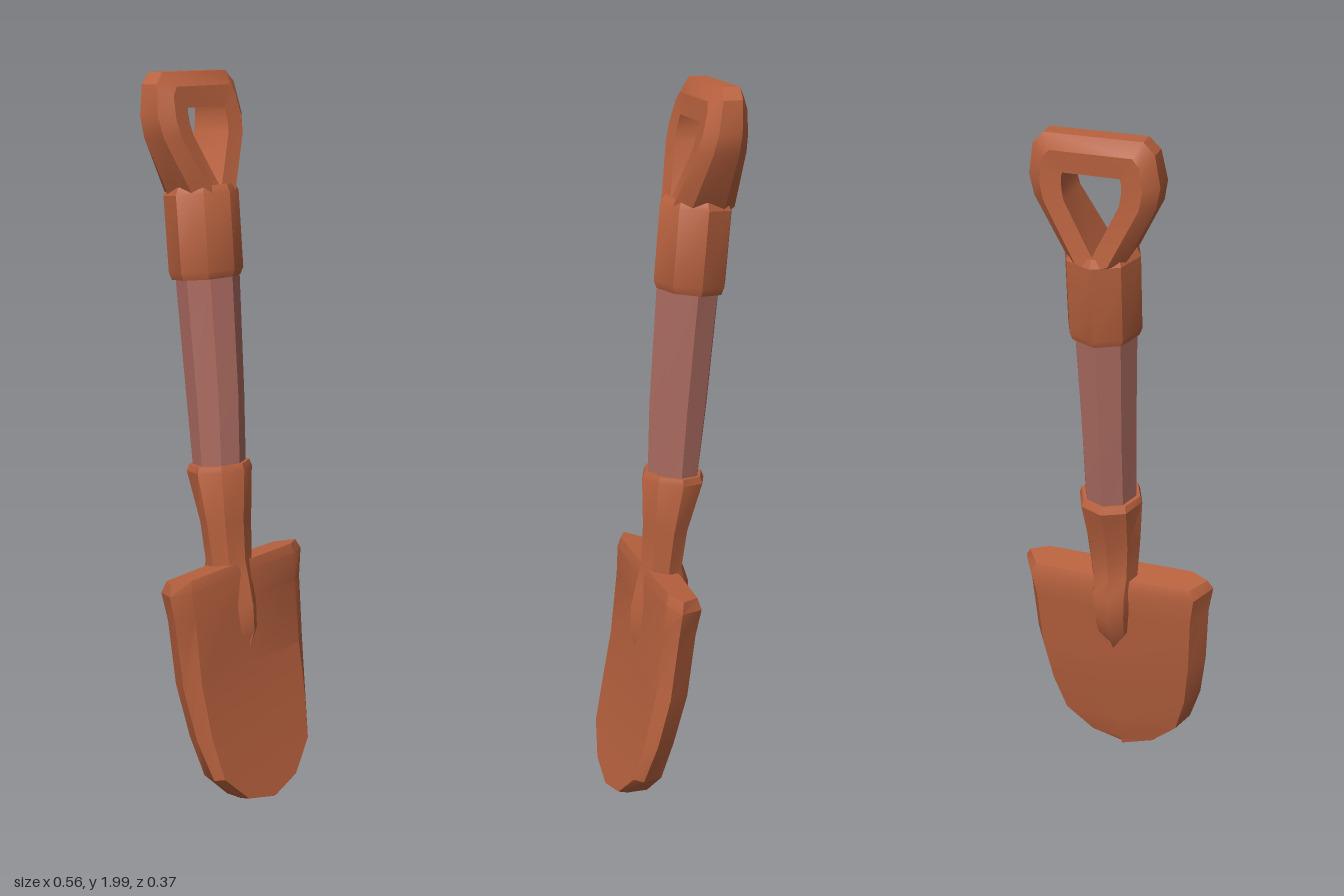
import * as THREE from 'three';
import { toCreasedNormals } from 'three/addons/utils/BufferGeometryUtils.js';

const metal = new THREE.MeshStandardMaterial({ color: 0xb9623f });
const wood = new THREE.MeshStandardMaterial({ color: 0xab6b60 });

// Skin a list of rings (each a list of [x, y, z]); ends are capped, or joined when looped.
function loft(name, rings, material, looped = false) {
  const pos = [];
  const tri = (...corners) => {
    const [a, b, c] = corners.map((p) => new THREE.Vector3(...p));
    const area = b.clone().sub(a).cross(c.clone().sub(a)).length();
    if (area > 1e-8) pos.push(...a, ...b, ...c);
  };
  const n = rings[0].length;
  const rows = looped ? rings.length : rings.length - 1;
  for (let r = 0; r < rows; r++) {
    const lo = rings[r], hi = rings[(r + 1) % rings.length];
    for (let i = 0; i < n; i++) {
      const j = (i + 1) % n;
      tri(lo[i], lo[j], hi[j]);
      tri(lo[i], hi[j], hi[i]);
    }
  }
  if (!looped) {
    const centre = (ring) => [0, 1, 2].map((k) => ring.reduce((s, p) => s + p[k], 0) / n);
    const bottom = rings[0], top = rings[rings.length - 1];
    for (let i = 0; i < n; i++) {
      const j = (i + 1) % n;
      tri(centre(bottom), bottom[j], bottom[i]);
      tri(centre(top), top[i], top[j]);
    }
  }
  const geometry = new THREE.BufferGeometry();
  geometry.setAttribute('position', new THREE.Float32BufferAttribute(pos, 3));
  const mesh = new THREE.Mesh(toCreasedNormals(geometry, 0.45), material);
  mesh.name = name;
  return mesh;
}

// Eight-sided ring with a corner at the front: height, half width, front z, back z.
function octagon([y, w, front, back]) {
  const zc = (front + back) / 2, d = (front - back) / 2;
  return Array.from({ length: 8 }, (_, i) => {
    const a = (i * Math.PI) / 4;
    const dz = Math.cos(a) * d;
    return [Math.sin(a) * w, y + dz * 0.1, zc + dz];
  });
}

// Blade ring: flat front, bevelled sides, slightly bowed back.
function bladeRing([y, w, front, back, inset]) {
  const side = [[inset * w, front], [w, front - 0.025], [0.86 * w, back + 0.01]];
  const ring = [
    [0, front],
    ...side,
    [0, back],
    ...side.map(([x, z]) => [-x, z]).reverse(),
  ];
  return ring.map(([x, z]) => [x, y + (z - front) * 0.18, z]);
}

// Grip ring: six-sided section between an outer and an inner outline point.
function gripRing([ox, oy, ix, iy]) {
  const at = (t, depth) => {
    const x = ox + (ix - ox) * t, y = oy + (iy - oy) * t;
    const zc = -0.121 + (1.95 - y) * 0.13;
    const half = 0.052 + (1.95 - y) * 0.13;
    return [x, y, zc + half * depth];
  };
  return [at(0, 0.52), at(0, -0.52), at(0.4, -1), at(1, -0.92), at(1, 0.92), at(0.4, 1)];
}

export function createModel() {
  const model = new THREE.Group();
  model.name = 'shovel';

  // Blade, curving forward to the tip
  model.add(loft('blade', [
    [0.025, 0.005, 0.185, 0.085, 0.95],
    [0.052, 0.11, 0.178, 0.08, 0.95],
    [0.13, 0.2, 0.158, 0.063, 0.92],
    [0.25, 0.237, 0.13, 0.038, 0.86],
    [0.4, 0.258, 0.1, 0.005, 0.82],
    [0.58, 0.267, 0.08, -0.015, 0.8],
    [0.66, 0.28, 0.074, -0.028, 0.79],
    [0.688, 0.265, 0.066, -0.02, 0.8],
  ].map(bladeRing), metal));

  // Socket, running down both blade faces to a point
  model.add(loft('socket', [
    [0.425, 0.005, 0.09, 0.0],
    [0.49, 0.055, 0.108, -0.04],
    [0.56, 0.06, 0.104, -0.062],
    [0.63, 0.064, 0.088, -0.065],
    [0.69, 0.068, 0.074, -0.045],
    [0.8, 0.078, 0.068, -0.06],
    [0.94, 0.09, 0.07, -0.108],
    [0.958, 0.084, 0.062, -0.1],
  ].map(octagon), metal));

  // Wooden shaft
  model.add(loft('shaft', [
    [0.9, 0.072, 0.055, -0.085],
    [1.15, 0.076, 0.048, -0.115],
    [1.5, 0.086, 0.025, -0.15],
  ].map(octagon), wood));

  // Collar between shaft and grip
  model.add(loft('collar', [
    [1.462, 0.092, 0.027, -0.157],
    [1.482, 0.1, 0.035, -0.165],
    [1.685, 0.1, 0.018, -0.182],
    [1.705, 0.09, 0.007, -0.172],
  ].map(octagon), metal));

  // D-shaped grip
  const side = [
    [0.07, 1.67, 0, 1.7],
    [0.155, 1.835, 0.07, 1.84],
    [0.166, 1.89, 0.075, 1.87],
    [0.153, 1.97, 0.075, 1.9],
    [0.125, 2, 0.072, 1.91],
  ];
  const outline = [
    [0, 1.64, 0, 1.7],
    ...side,
    ...side.map(([ox, oy, ix, iy]) => [-ox, oy, -ix, iy]).reverse(),
  ];
  model.add(loft('grip', outline.map(gripRing), metal, true));

  return model;
}
